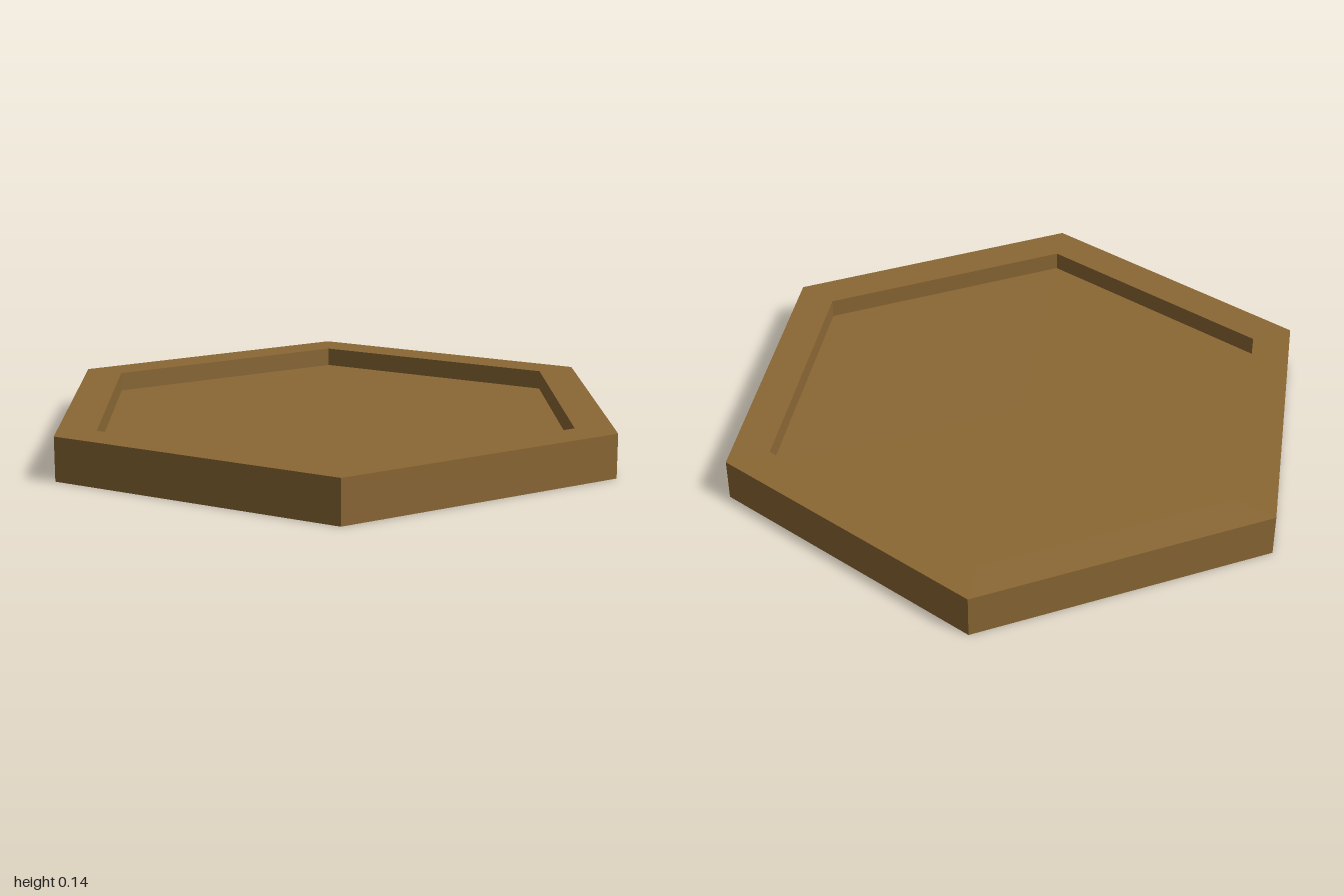
import * as THREE from 'three';

const RADIUS = 1, HEIGHT = 0.143;           // outer hexagon, corner to centre
const INNER_RADIUS = 0.857, FLOOR_Y = 0.08; // recess inside the rim

export function createModel() {
  const group = new THREE.Group();
  group.name = 'hexagonalTray';

  // Closed cross-section from the underside, over the rim, to the recessed floor
  const profile = [
    [0, 0], [RADIUS, 0], [RADIUS, HEIGHT],
    [INNER_RADIUS, HEIGHT], [INNER_RADIUS, FLOOR_Y], [0, FLOOR_Y],
  ].map(([r, y]) => new THREE.Vector2(r, y));

  // Six flat sides, with corners on the x axis
  const tray = new THREE.Mesh(
    new THREE.LatheGeometry(profile, 6, Math.PI / 2),
    new THREE.MeshStandardMaterial({ color: 0x8b6834, flatShading: true }),
  );
  tray.name = 'tray';
  group.add(tray);
  return group;
}
